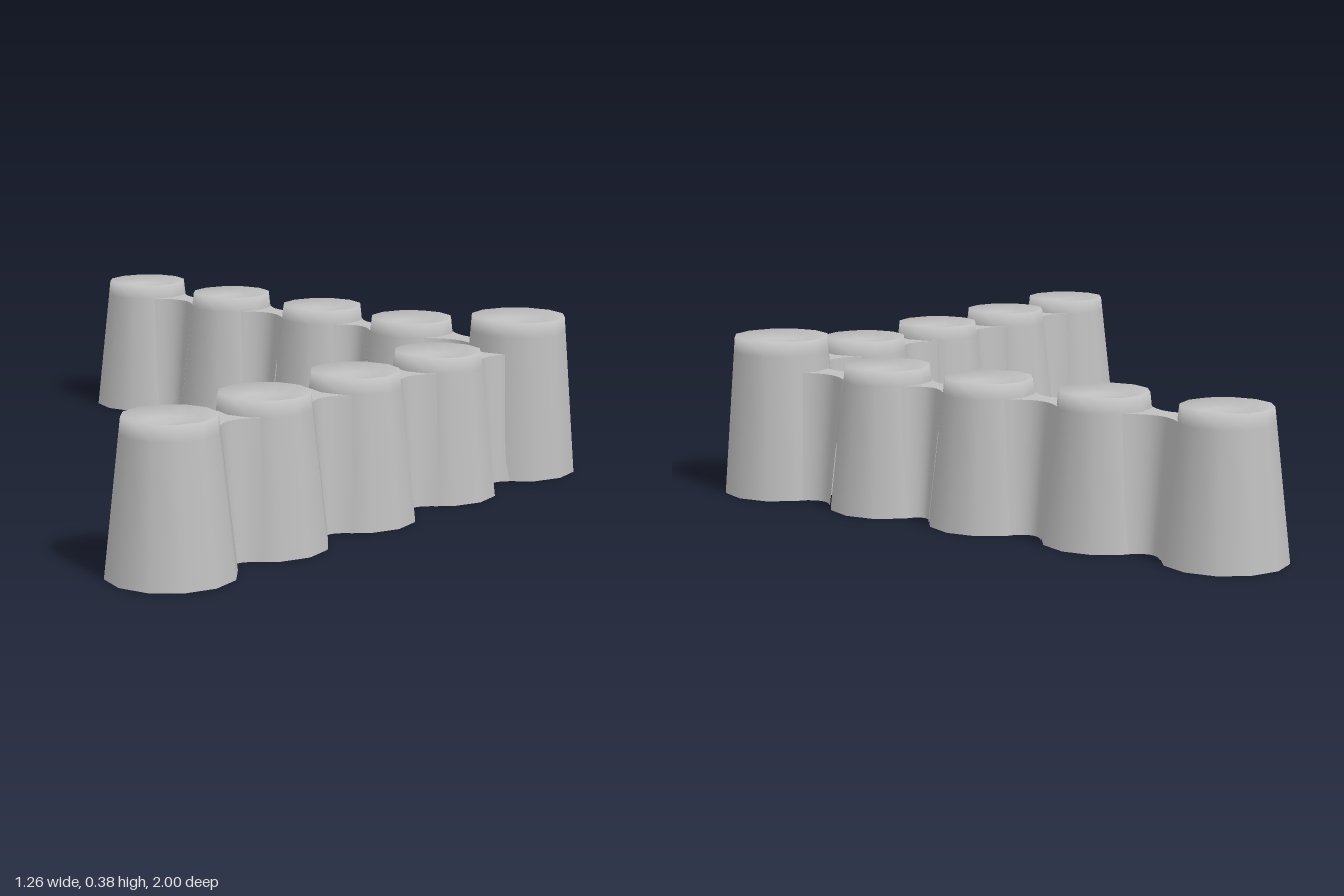
import * as THREE from 'three';

// Tower centres [x, z], running along the back arm, round the corner and down the front arm
const CENTRES = [
  [-0.235, -0.863], [-0.055, -0.61], [0.13, -0.365], [0.3, -0.13],
  [0.49, 0.13],
  [0.235, 0.315], [-0.01, 0.5], [-0.255, 0.68], [-0.492, 0.862],
];
const CORNER = 4;
const WALL_HEIGHT = 0.3;

// Hollow tapered tower with a slightly dished top
function towerGeometry(bottomRadius, topRadius, height) {
  const neckY = height - 0.035;
  const neckRadius = THREE.MathUtils.lerp(bottomRadius, topRadius, neckY / height);
  const profile = [
    [bottomRadius, 0], [neckRadius, neckY], [topRadius, height],
    [topRadius * 0.55, height - 0.015], [0.0001, height - 0.02],
  ].map(([r, y]) => new THREE.Vector2(r, y));
  return new THREE.LatheGeometry(profile, 12);
}

// Curtain wall along local x: narrow in the middle, flaring smoothly into both towers
function wallGeometry(length) {
  const steps = 10;
  const levels = [
    { y: 0, reach: length / 2 - 0.108, mid: 0.05, end: 0.084 },
    { y: WALL_HEIGHT, reach: length / 2 - 0.085, mid: 0.028, end: 0.06 },
  ];
  const positions = [];
  const indices = [];

  // Adds a strip between two rails, each a function of t in -1..1
  const strip = (railA, railB) => {
    const base = positions.length / 3;
    for (let i = 0; i <= steps; i++) {
      const t = (i / steps) * 2 - 1;
      positions.push(...railA(t), ...railB(t));
      if (i === steps) continue;
      const a = base + i * 2;
      indices.push(a, a + 2, a + 3, a, a + 3, a + 1);
    }
  };
  const rail = (level, side) => (t) => [
    t * level.reach,
    level.y,
    side * (level.mid + (level.end - level.mid) * t * t),
  ];
  const [low, high] = levels;
  strip(rail(low, 1), rail(high, 1));
  strip(rail(high, -1), rail(low, -1));
  strip(rail(high, 1), rail(high, -1));

  const geometry = new THREE.BufferGeometry();
  geometry.setAttribute('position', new THREE.Float32BufferAttribute(positions, 3));
  geometry.setIndex(indices);
  geometry.computeVertexNormals();
  return geometry;
}

export function createModel() {
  const model = new THREE.Group();
  model.name = 'towerWall';
  const grey = new THREE.MeshStandardMaterial({ color: 0xbfbfbf, side: THREE.DoubleSide });
  grey.name = 'plain grey';

  // Towers, with a taller and wider one at the corner
  const smallTower = towerGeometry(0.139, 0.101, 0.335);
  const tallTower = towerGeometry(0.142, 0.113, 0.375);
  CENTRES.forEach(([x, z], i) => {
    const tower = new THREE.Mesh(i === CORNER ? tallTower : smallTower, grey);
    tower.name = i === CORNER ? 'cornerTower' : 'tower';
    tower.position.set(x, 0, z);
    model.add(tower);
  });

  // Walls joining neighbouring towers
  for (let i = 0; i < CENTRES.length - 1; i++) {
    const [x0, z0] = CENTRES[i];
    const [x1, z1] = CENTRES[i + 1];
    const wall = new THREE.Mesh(wallGeometry(Math.hypot(x1 - x0, z1 - z0)), grey);
    wall.name = 'connectingWall';
    wall.position.set((x0 + x1) / 2, 0, (z0 + z1) / 2);
    wall.rotation.y = Math.atan2(z0 - z1, x1 - x0);
    model.add(wall);
  }
  return model;
}
